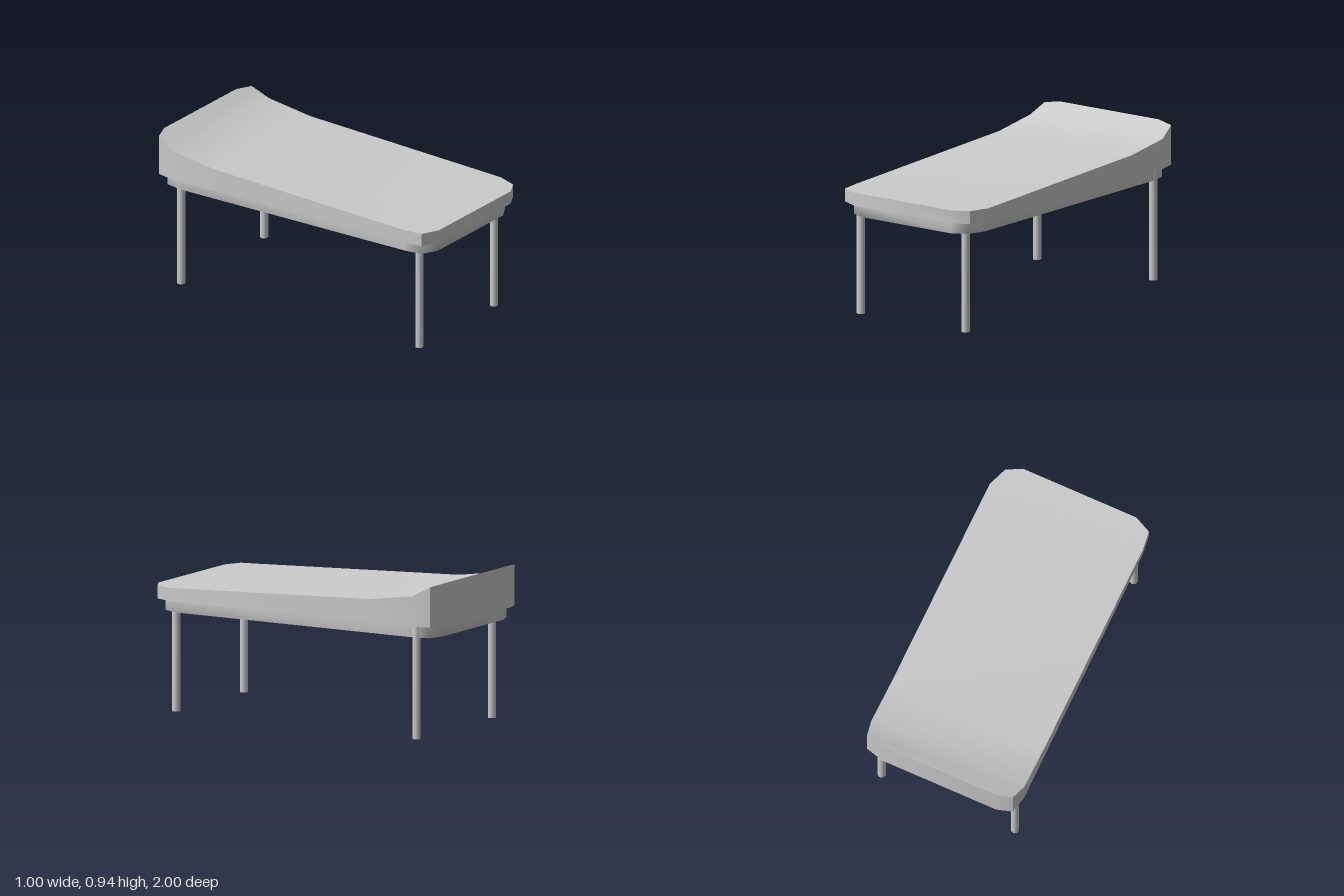
import * as THREE from 'three';
import { toCreasedNormals } from 'three/addons/utils/BufferGeometryUtils.js';

const BASE = 0.685; // underside of the mattress

// Cross-sections from front to back: z, left x, right x, top height
const SECTIONS = [
  [1, -0.38, 0.36, 0.763],
  [0.95, -0.485, 0.455, 0.763],
  [0.83, -0.5, 0.5, 0.765],
  [-0.56, -0.5, 0.5, 0.825],
  [-0.86, -0.5, 0.5, 0.868],
  [-0.97, -0.475, 0.477, 0.928],
  [-1, -0.38, 0.36, 0.94],
];

function indexed(positions, index) {
  const g = new THREE.BufferGeometry();
  g.setAttribute('position', new THREE.Float32BufferAttribute(positions, 3));
  g.setIndex(index);
  g.computeVertexNormals();
  return g;
}

// Loft of four-cornered sections: sloping top, flat underside, clipped corners
function mattressGeometry() {
  const pos = [], idx = [];
  SECTIONS.forEach(([z, l, r, top], s) => {
    pos.push(l, top, z, r, top, z, r, BASE, z, l, BASE, z);
    if (s === SECTIONS.length - 1) return;
    for (let i = 0; i < 4; i++) {
      const a = s * 4 + i, b = s * 4 + (i + 1) % 4;
      idx.push(a, b, b + 4, a, b + 4, a + 4);
    }
  });
  const e = (SECTIONS.length - 1) * 4;
  idx.push(0, 3, 2, 0, 2, 1, e, e + 1, e + 2, e, e + 2, e + 3);
  return toCreasedNormals(indexed(pos, idx), 0.6);
}

// Tray with the same outline, slightly smaller, shaded softly round its lower edge
function frameGeometry() {
  const outline = [
    ...SECTIONS.map(([z, , r]) => [r, z]),
    ...SECTIONS.map(([z, l]) => [l, z]).reverse(),
  ];
  const n = outline.length;
  const rings = [[1, BASE + 0.004], [1, 0.612], [0.97, 0.612]]; // scale, height
  const pos = [], idx = [];
  rings.forEach(([k, y], s) => {
    outline.forEach(([x, z]) => pos.push(x * 0.91 * k, y, z * 0.968 * k));
    if (s === rings.length - 1) return;
    for (let i = 0; i < n; i++) {
      const a = s * n + i, b = s * n + (i + 1) % n;
      idx.push(a, a + n, b + n, a, b + n, b);
    }
  });
  const e = (rings.length - 1) * n;
  for (let i = 1; i < n - 1; i++) idx.push(e, e + i + 1, e + i);
  return indexed(pos, idx);
}

export function createModel() {
  const group = new THREE.Group();
  const material = new THREE.MeshStandardMaterial({ color: 0xcccccc });
  const add = (name, geometry) => {
    const mesh = new THREE.Mesh(geometry, material);
    mesh.name = name;
    group.add(mesh);
    return mesh;
  };

  add('mattress', mattressGeometry());
  add('frame', frameGeometry());

  // Round legs, set a little unevenly under the frame
  const legHeight = BASE + 0.003;
  const legGeometry = new THREE.CylinderGeometry(0.025, 0.025, legHeight, 16);
  const legs = [
    ['frontLeftLeg', 0.365, 0.875],
    ['frontRightLeg', -0.415, 0.885],
    ['backLeftLeg', 0.436, -0.85],
    ['backRightLeg', -0.43, -0.84],
  ];
  for (const [name, x, z] of legs) add(name, legGeometry).position.set(x, legHeight / 2, z);

  return group;
}
